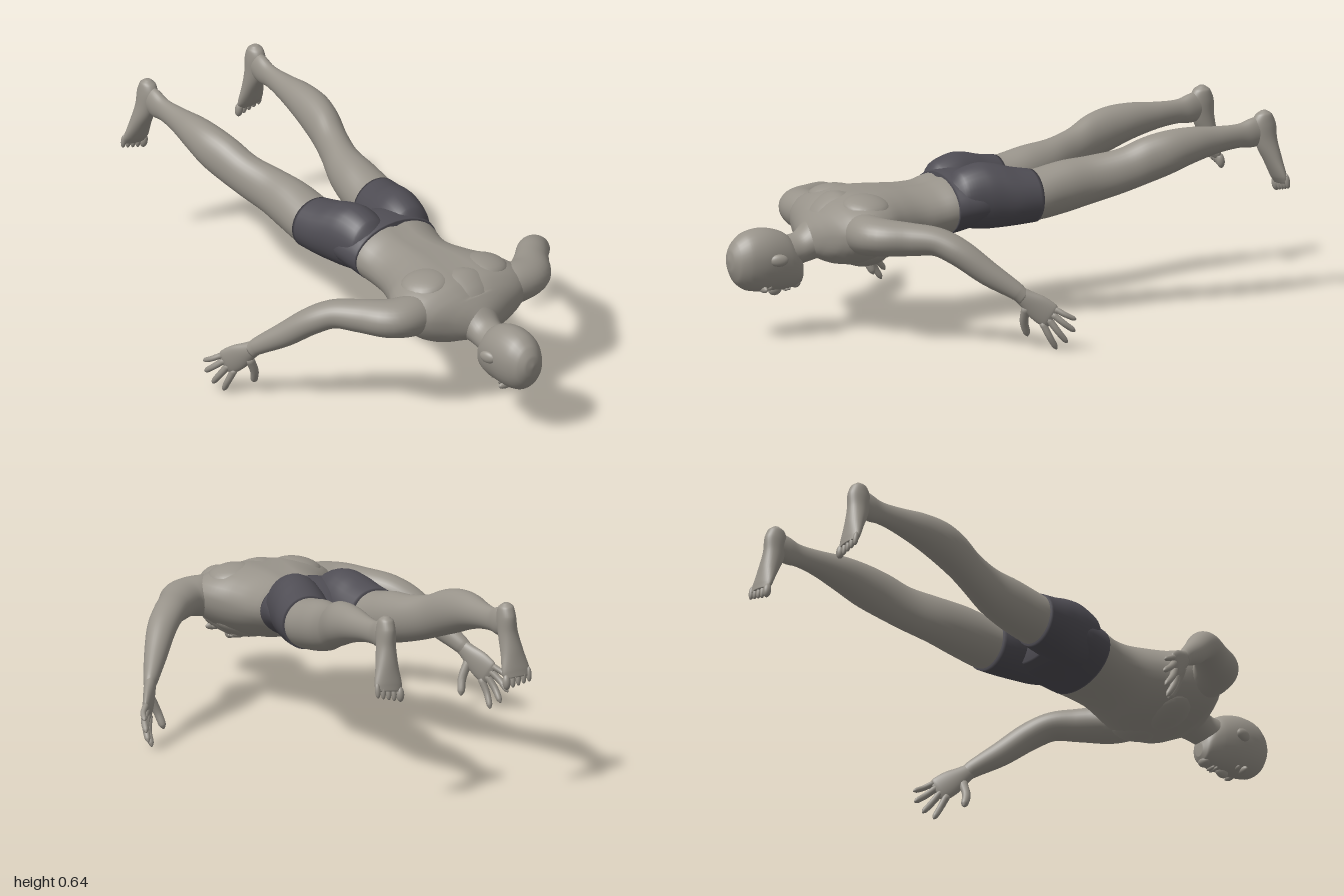
import * as THREE from 'three';

const skin = new THREE.MeshStandardMaterial({ color: 0x98938a });
skin.name = 'skin';
const cloth = new THREE.MeshStandardMaterial({ color: 0x4f4d54 });
cloth.name = 'shorts cloth';

// Smooth closed skin over sections [x, y, z, side radius, upper radius, lower radius].
// Rings follow the path, or stay square to a fixed direction when one is given.
function loft(sections, up, direction, steps = 6, n = 32) {
  const pick = (a, b, c) => sections.map(s => new THREE.Vector3(s[a], s[b], s[c]));
  const path = new THREE.CatmullRomCurve3(pick(0, 1, 2));
  const radii = new THREE.CatmullRomCurve3(pick(3, 4, 5), false, 'catmullrom', 0.5);
  const rings = (sections.length - 1) * steps;
  const pos = [], idx = [];
  for (let i = 0; i <= rings; i++) {
    const c = path.getPoint(i / rings), r = radii.getPoint(i / rings);
    const t = direction ? direction.clone() : path.getTangent(i / rings);
    const s = up.clone().cross(t).normalize();
    const v = t.clone().cross(s);
    for (let j = 0; j < n; j++) {
      const a = j / n * Math.PI * 2, sn = Math.sin(a);
      const p = c.clone().addScaledVector(s, Math.cos(a) * r.x).addScaledVector(v, sn * (sn > 0 ? r.y : r.z));
      pos.push(p.x, p.y, p.z);
      if (i < rings) {
        const k = (j + 1) % n, A = i * n + j, B = i * n + k;
        idx.push(A, B, B + n, A, B + n, A + n);
      }
    }
  }
  const first = path.getPoint(0), last = path.getPoint(1), c0 = pos.length / 3;
  pos.push(first.x, first.y, first.z, last.x, last.y, last.z);
  for (let j = 0; j < n; j++) {
    const k = (j + 1) % n;
    idx.push(c0, k, j, c0 + 1, rings * n + j, rings * n + k);
  }
  const g = new THREE.BufferGeometry();
  g.setAttribute('position', new THREE.Float32BufferAttribute(pos, 3));
  g.setIndex(idx);
  g.computeVertexNormals();
  return g;
}

const UP = new THREE.Vector3(0, 1, 0), BACK = new THREE.Vector3(0, 0, -1);

// Body section given as z, centre x, half width, lowest y, highest y, height of the widest point
const sec = (z, x, w, lo, hi, k = 0.5) => {
  const y = lo + (hi - lo) * k;
  return [x, y, z, w, hi - y, y - lo];
};
const body = rows => loft(rows.map(r => sec(...r)), UP, BACK);

export function createModel() {
  const model = new THREE.Group();
  model.name = 'proneFigure';
  const add = (name, geometry, material = skin) => {
    const m = new THREE.Mesh(geometry, material);
    m.name = name;
    model.add(m);
    return m;
  };
  const blob = (name, p, s, rot = [0, 0, 0]) => {
    const m = add(name, new THREE.SphereGeometry(1, 24, 16));
    m.position.set(...p);
    m.scale.set(...s);
    m.rotation.set(...rot);
  };

  // Torso, with a groove along the spine
  const torso = body([
    [0.715, 0, 0.05, 0.28, 0.37], [0.69, 0, 0.12, 0.265, 0.405, 0.6], [0.665, 0, 0.19, 0.255, 0.432, 0.6],
    [0.63, 0, 0.24, 0.24, 0.458, 0.6], [0.57, 0, 0.255, 0.23, 0.478, 0.62], [0.5, 0, 0.235, 0.23, 0.484, 0.6],
    [0.42, 0, 0.19, 0.24, 0.484, 0.55], [0.34, 0, 0.16, 0.265, 0.48], [0.27, 0, 0.157, 0.28, 0.482],
    [0.2, 0, 0.167, 0.292, 0.498], [0.15, 0, 0.165, 0.31, 0.49]]);
  const tp = torso.attributes.position;
  for (let i = 0; i < tp.count; i++) {
    const x = tp.getX(i), y = tp.getY(i);
    if (y > 0.42) tp.setY(i, y - 0.01 * Math.exp(-((x / 0.025) ** 2)));
  }
  torso.computeVertexNormals();
  add('torso', torso);

  // Neck and head
  add('neck', body([
    [0.86, 0, 0.055, 0.22, 0.345], [0.79, 0, 0.057, 0.225, 0.345], [0.74, 0, 0.058, 0.24, 0.352],
    [0.7, 0, 0.07, 0.25, 0.39], [0.66, 0, 0.1, 0.26, 0.44], [0.6, 0, 0.13, 0.27, 0.475], [0.54, 0, 0.1, 0.3, 0.47]]));
  add('head', body([
    [1, 0, 0.004, 0.275, 0.285], [0.994, 0, 0.03, 0.24, 0.315], [0.975, 0, 0.054, 0.2, 0.345],
    [0.94, 0, 0.072, 0.173, 0.37, 0.55], [0.89, 0, 0.08, 0.163, 0.38, 0.55], [0.84, 0, 0.078, 0.163, 0.375, 0.55],
    [0.79, 0, 0.069, 0.162, 0.355, 0.55], [0.755, 0, 0.056, 0.167, 0.32, 0.55],
    [0.735, 0, 0.042, 0.175, 0.28], [0.724, 0, 0.018, 0.195, 0.24]]));
  blob('nose', [0, 0.165, 0.822], [0.014, 0.022, 0.026], [0.25, 0, 0]);
  blob('upperLip', [0, 0.163, 0.786], [0.023, 0.008, 0.006]);
  blob('lowerLip', [0, 0.164, 0.775], [0.02, 0.008, 0.007]);
  blob('chin', [0, 0.18, 0.747], [0.025, 0.018, 0.018]);

  // Pelvis part of the shorts
  add('shortsPelvis', body([
    [0.206, 0, 0.169, 0.289, 0.502], [0.17, 0, 0.175, 0.297, 0.507], [0.1, 0, 0.183, 0.312, 0.505],
    [0.04, 0, 0.17, 0.32, 0.48], [-0.005, 0, 0.11, 0.34, 0.44]]), cloth);

  for (const [side, sx] of [['left', 1], ['right', -1]]) {
    const v = (x, y, z) => new THREE.Vector3(x * sx, y, z);
    const flip = rows => rows.map(([x, ...rest]) => [x * sx, ...rest]);
    const legLoft = rows => body(rows.map(([z, x, ...rest]) => [z, x * sx, ...rest]));
    const finger = (name, a, b, r, bend) => {
      const m = a.map((c, i) => (c + b[i]) / 2 + bend[i]);
      const at = (p, q, f) => p.map((c, i) => c + (q[i] - c) * f);
      const ring = (p, k) => [...p, r * k, r * k, r * k];
      add(name, loft(flip([ring(a, 1.1), ring(m, 1), ring(at(m, b, 0.75), 0.85), ring(b, 0.25)]), v(0.83, -0.05, 0.55), null, 4, 12));
    };

    // Face details, chest and shoulder blade
    blob(side + 'Ear', [0.082 * sx, 0.28, 0.85], [0.014, 0.021, 0.032], [0, -0.3 * sx, 0]);
    blob(side + 'Brow', [0.032 * sx, 0.176, 0.884], [0.028, 0.013, 0.01]);
    blob(side + 'Eye', [0.032 * sx, 0.181, 0.861], [0.015, 0.012, 0.009]);
    blob(side + 'Pectoral', [0.09 * sx, 0.275, 0.525], [0.1, 0.045, 0.075], [0, 0, 0.25 * sx]);
    blob(side + 'ShoulderBlade', [0.12 * sx, 0.44, 0.54], [0.085, 0.038, 0.085], [0, 0, -0.15 * sx]);

    // Arm from shoulder to wrist
    add(side + 'Arm', loft(flip([
      [0.13, 0.365, 0.59, 0.05, 0.05, 0.05], [0.2, 0.368, 0.59, 0.07, 0.068, 0.07],
      [0.28, 0.37, 0.572, 0.077, 0.064, 0.064], [0.35, 0.37, 0.495, 0.061, 0.055, 0.058],
      [0.41, 0.365, 0.42, 0.054, 0.047, 0.05], [0.46, 0.332, 0.365, 0.05, 0.047, 0.048],
      [0.52, 0.262, 0.285, 0.039, 0.042, 0.042], [0.575, 0.2, 0.205, 0.025, 0.031, 0.029],
      [0.59, 0.18, 0.185, 0.018, 0.026, 0.026]]), UP));

    // Hand
    add(side + 'Palm', loft(flip([
      [0.568, 0.208, 0.215, 0.024, 0.018, 0.018], [0.587, 0.182, 0.183, 0.031, 0.021, 0.019],
      [0.61, 0.15, 0.146, 0.044, 0.018, 0.019], [0.631, 0.121, 0.112, 0.045, 0.014, 0.015],
      [0.639, 0.112, 0.1, 0.034, 0.007, 0.008]]), v(0.83, -0.05, 0.55)));
    const bend = [0.006, 0, 0.004];
    finger(side + 'IndexFinger', [0.615, 0.096, 0.13], [0.627, 0.002, 0.082], 0.0115, bend);
    finger(side + 'MiddleFinger', [0.628, 0.111, 0.115], [0.653, 0.026, 0.055], 0.0115, bend);
    finger(side + 'RingFinger', [0.638, 0.126, 0.103], [0.67, 0.066, 0.034], 0.011, bend);
    finger(side + 'LittleFinger', [0.644, 0.143, 0.095], [0.676, 0.108, 0.034], 0.0095, bend);
    finger(side + 'Thumb', [0.59, 0.15, 0.178], [0.55, 0.04, 0.152], 0.0145, [-0.006, -0.002, 0.008]);

    // Shorts leg with buttock
    add(side + 'ShortsLeg', legLoft([
      [0.2, 0.08, 0.05, 0.36, 0.48], [0.17, 0.083, 0.08, 0.33, 0.518], [0.1, 0.09, 0.094, 0.316, 0.541],
      [0.04, 0.1, 0.098, 0.316, 0.536], [-0.02, 0.112, 0.1, 0.32, 0.52], [-0.09, 0.127, 0.094, 0.327, 0.508]]), cloth);

    // Bare leg
    add(side + 'Leg', legLoft([
      [-0.05, 0.12, 0.085, 0.335, 0.5], [-0.1, 0.128, 0.088, 0.333, 0.506], [-0.2, 0.135, 0.08, 0.348, 0.526],
      [-0.3, 0.148, 0.068, 0.372, 0.536], [-0.4, 0.178, 0.059, 0.402, 0.556], [-0.48, 0.2, 0.06, 0.43, 0.59],
      [-0.56, 0.214, 0.061, 0.457, 0.608], [-0.65, 0.218, 0.053, 0.488, 0.612], [-0.75, 0.218, 0.037, 0.513, 0.605],
      [-0.83, 0.219, 0.027, 0.523, 0.605], [-0.88, 0.22, 0.028, 0.52, 0.62], [-0.93, 0.222, 0.026, 0.53, 0.625]]));

    // Foot, hanging down with the sole to the back
    add(side + 'Foot', loft(flip([
      [0.221, 0.643, -0.925, 0.01, 0.01, 0.01], [0.222, 0.63, -0.925, 0.025, 0.03, 0.028],
      [0.223, 0.595, -0.925, 0.031, 0.045, 0.042], [0.226, 0.54, -0.932, 0.033, 0.04, 0.038],
      [0.232, 0.475, -0.952, 0.041, 0.028, 0.03], [0.236, 0.42, -0.972, 0.05, 0.02, 0.019],
      [0.238, 0.395, -0.98, 0.046, 0.012, 0.014]]), new THREE.Vector3(0, 0, 1)));
    for (let i = 0; i < 5; i++) {
      const r = i ? 0.0095 : 0.014;
      blob(side + 'Toe' + (i + 1), [(0.2 + i * 0.02 - (i ? 0 : 0.003)) * sx, 0.383 + i * 0.005, -0.983], [r, 0.026, r], [0.15, 0, 0]);
    }
  }
  return model;
}
